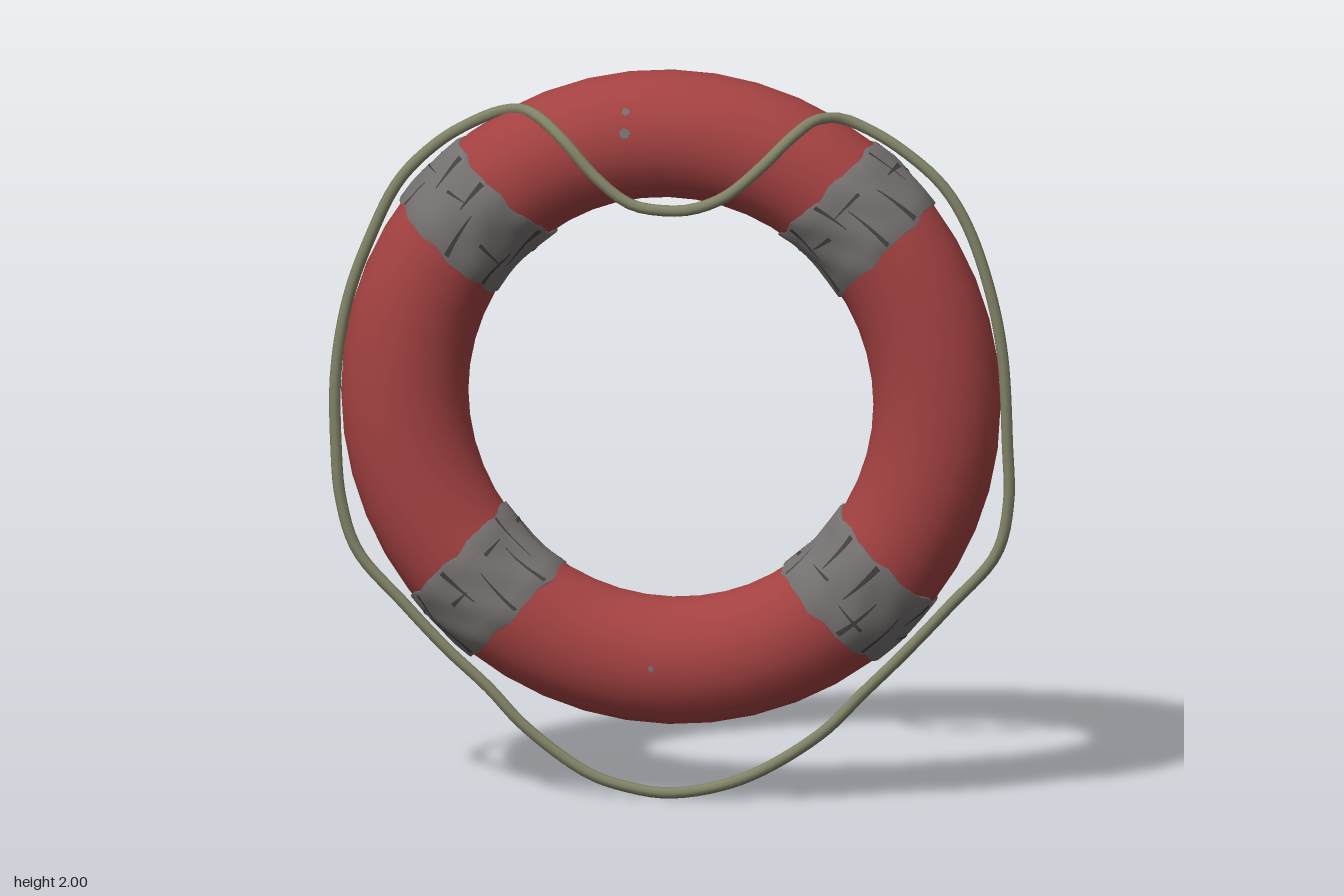
import * as THREE from 'three';

const RING = 0.7225, TUBE = 0.1725, FLAT = 0.925; // ring radius, tube radius, depth squash
const CENTRE = new THREE.Vector3(-0.004, 1.105, -0.016);
const HALF = 0.115; // half width of a band
const rad = THREE.MathUtils.degToRad;

// Point on the ring: s = distance along the ring from angle a, phi = angle round the tube
function ringPoint(a, s, phi, lift) {
  const t = TUBE + lift, rho = RING + t * Math.cos(phi);
  const th = a + Math.asin(s / rho);
  return [rho * Math.cos(th), rho * Math.sin(th), t * Math.sin(phi) * FLAT];
}

// Small ripples of the wrapped cloth
const ripple = (a, u, phi) =>
  0.007 + 0.0022 * Math.sin(5 * phi + 2.5 * u + a * 3) + 0.0018 * Math.sin(9 * phi - 4 * u + a * 7);

// Grid surface from point(i, j); wraps in j when closed
function gridGeometry(nu, nv, point, closed) {
  const pos = [], idx = [], cols = closed ? nv : nv + 1;
  for (let i = 0; i <= nu; i++) for (let j = 0; j < cols; j++) pos.push(...point(i / nu, j / nv));
  for (let i = 0; i < nu; i++) for (let j = 0; j < nv; j++) {
    const k = (j + 1) % cols;
    const a = i * cols + j, b = (i + 1) * cols + j, c = (i + 1) * cols + k, d = i * cols + k;
    idx.push(a, b, c, a, c, d);
  }
  const g = new THREE.BufferGeometry();
  g.setAttribute('position', new THREE.Float32BufferAttribute(pos, 3));
  g.setIndex(idx);
  g.computeVertexNormals();
  return g;
}

// Cloth band with ragged edges tucked into the ring
function bandGeometry(a) {
  return gridGeometry(10, 48, (p, q) => {
    const u = p * 2 - 1, phi = q * Math.PI * 2;
    const ragged = 1 + 0.04 * Math.sin(7 * phi + a * 5 + u * 2) + 0.03 * Math.sin(13 * phi + a + u * 3);
    const lift = p === 0 || p === 1 ? -0.004 : ripple(a, u, phi);
    const v = Math.abs(u) > 0.75 ? Math.sign(u) * (p === 0 || p === 1 ? 1 : 0.985) : u;
    return ringPoint(a, v * HALF * ragged, phi, lift);
  }, true);
}

// Tapered crease lying on a band, from (u0, phi0) to (u1, phi1)
function creaseGeometry(a, u0, phi0, u1, phi1, width) {
  const du = (u1 - u0) * HALF, dp = (phi1 - phi0) * TUBE, len = Math.hypot(du, dp);
  return gridGeometry(6, 1, (p, q) => {
    const w = (q - 0.5) * width * (1 - 0.8 * p);
    const u = u0 + (u1 - u0) * p - (w * dp) / len / HALF;
    const phi = phi0 + (phi1 - phi0) * p + (w * du) / len / TUBE;
    return ringPoint(a, u * HALF, phi, ripple(a, u, phi) + 0.0015);
  }, false);
}

function seeded(seed) {
  return () => (seed = (seed * 16807) % 2147483647) / 2147483647;
}

export function createModel() {
  const mat = (name, color, side = THREE.FrontSide) => {
    const m = new THREE.MeshStandardMaterial({ color, side });
    m.name = name;
    return m;
  };
  const red = mat('faded red', 0xa34141);
  const grey = mat('grey cloth', 0x757170, THREE.DoubleSide);
  const dark = mat('dark crease', 0x444140, THREE.DoubleSide);
  const ropeMat = mat('olive rope', 0x828468);

  const model = new THREE.Group();
  model.name = 'lifebuoy';
  const add = (parent, name, geo, m) => {
    const mesh = new THREE.Mesh(geo, m);
    mesh.name = name;
    parent.add(mesh);
    return mesh;
  };

  // Ring
  const buoy = new THREE.Group();
  buoy.name = 'buoy';
  buoy.position.copy(CENTRE);
  model.add(buoy);
  const ringGeo = new THREE.TorusGeometry(RING, TUBE, 24, 48);
  ringGeo.scale(1, 1, FLAT);
  add(buoy, 'ring', ringGeo, red);

  // Four wrapped bands with creases
  const rnd = seeded(4711);
  const bands = { upperLeft: 45, upperRight: 137, lowerRight: 226, lowerLeft: 316 };
  for (const [name, deg] of Object.entries(bands)) {
    const a = rad(deg);
    add(buoy, name + 'Band', bandGeometry(a), grey);
    for (let i = 0; i < 20; i++) {
      const along = i % 3 === 0;
      const phi = (i / 20) * Math.PI * 2 + rnd() * 0.2;
      const u = along ? rnd() * 1.2 - 0.6 : (i % 2 ? 0.92 : -0.92);
      const u1 = along ? u + rnd() * 0.3 - 0.15 : u * (0.2 - rnd() * 0.6);
      const phi1 = phi + (along ? 0.3 + rnd() * 0.3 : rnd() * 0.36 - 0.18);
      add(buoy, name + 'Crease', creaseGeometry(a, u, phi, u1, phi1, 0.008 + rnd() * 0.010), dark);
    }
  }

  // Small chips in the paint: x, y, radius
  for (const [x, y, r] of [[-0.107, 1.91, 0.011], [-0.107, 1.855, 0.015], [-0.035, 0.39, 0.008]]) {
    const dx = x - CENTRE.x, dy = y - CENTRE.y;
    const phi = Math.acos((Math.hypot(dx, dy) - RING) / TUBE), a = Math.atan2(dy, dx);
    const chip = add(buoy, 'paintChip', new THREE.CircleGeometry(r, 7), grey);
    chip.position.set(...ringPoint(a, 0, phi, 0.003));
    const n = new THREE.Vector3(Math.cos(phi) * Math.cos(a), Math.cos(phi) * Math.sin(a), Math.sin(phi) / FLAT);
    chip.quaternion.setFromUnitVectors(new THREE.Vector3(0, 0, 1), n.normalize());
  }

  // Grab rope: droops in front at the top, then hangs round the outside
  const Z = -0.014;
  const path = [
    [0, 1.652, 0.166], [-0.09, 1.668, 0.166], [-0.18, 1.735, 0.165], [-0.27, 1.83, 0.148],
    [-0.34, 1.88, 0.1], [-0.4, 1.893, 0.04], [-0.46, 1.88, 0], [-0.53, 1.85, Z],
    [-0.63, 1.79, Z], [-0.74, 1.68, Z], [-0.82, 1.52, Z], [-0.88, 1.35, Z], [-0.913, 1.15, Z],
    [-0.913, 0.95, Z], [-0.9, 0.8, Z], [-0.855, 0.66, Z], [-0.73, 0.52, Z], [-0.61, 0.395, Z],
    [-0.5, 0.295, Z], [-0.4, 0.19, Z], [-0.23, 0.068, Z], [-0.12, 0.032, Z], [0, 0.019, Z],
    [0.19, 0.063, Z], [0.4, 0.19, Z], [0.52, 0.31, Z], [0.62, 0.41, Z], [0.75, 0.55, Z],
    [0.88, 0.7, Z], [0.913, 0.84, Z], [0.91, 1.0, Z], [0.896, 1.25, Z], [0.86, 1.43, Z],
    [0.8, 1.6, Z], [0.73, 1.71, Z], [0.61, 1.81, Z], [0.52, 1.86, Z], [0.46, 1.885, 0],
    [0.4, 1.888, 0.05], [0.34, 1.85, 0.125], [0.27, 1.78, 0.16], [0.17, 1.695, 0.166], [0.08, 1.658, 0.166],
  ].map(p => new THREE.Vector3(...p));
  const curve = new THREE.CatmullRomCurve3(path, true, 'centripetal');
  add(model, 'grabRope', new THREE.TubeGeometry(curve, 200, 0.0155, 8, true), ropeMat);

  return model;
}
